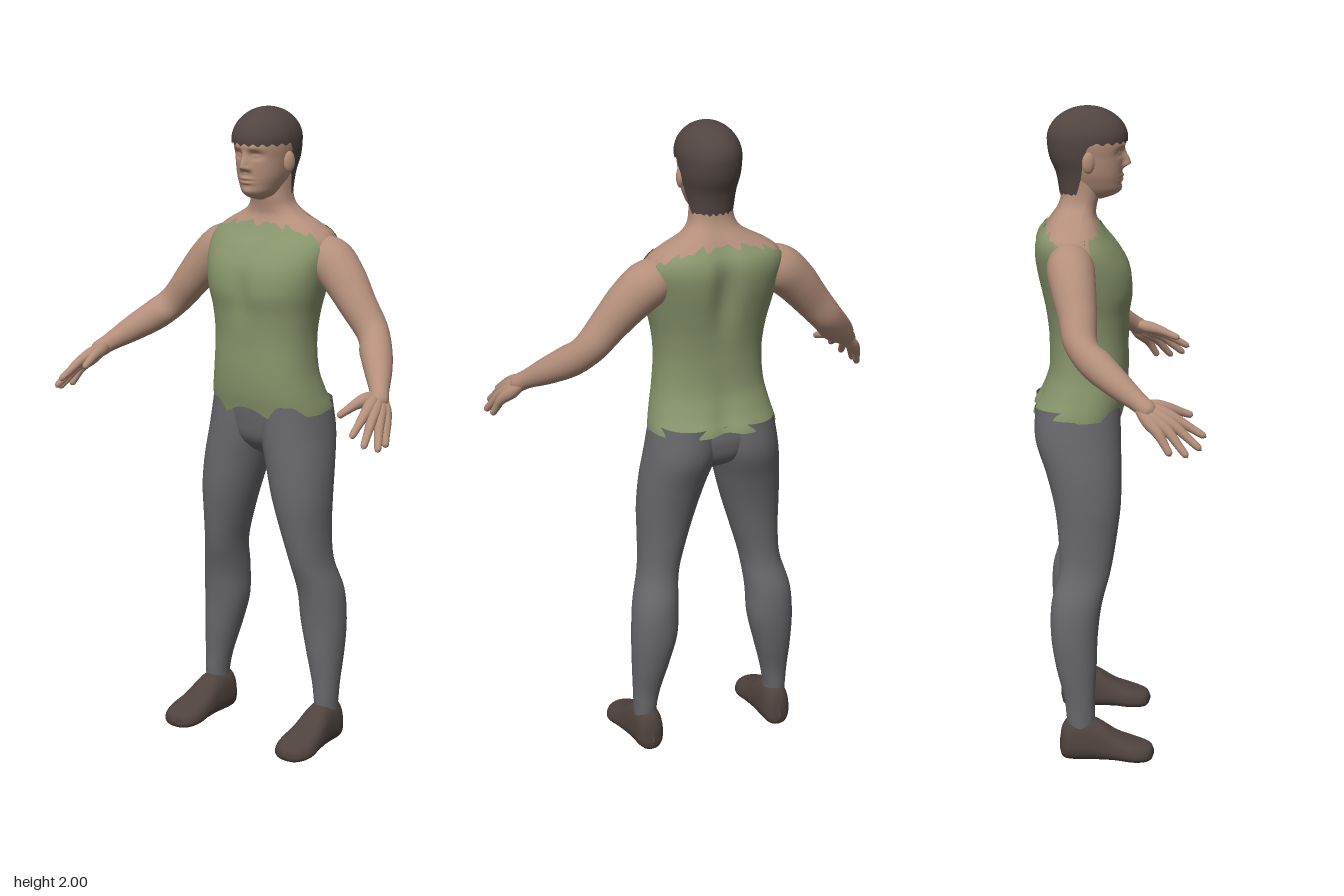
import * as THREE from 'three';

const paint = (name, color) => Object.assign(new THREE.MeshStandardMaterial({ color, side: THREE.DoubleSide }), { name });

// Cubic interpolation through rows whose first number is the position
function sample(rows, p) {
  let i = 0;
  while (i < rows.length - 2 && p > rows[i + 1][0]) i++;
  const a = rows[i], b = rows[i + 1], h = b[0] - a[0];
  const t = THREE.MathUtils.clamp((p - a[0]) / h, 0, 1);
  const slope = (j, k) => {
    const l = rows[Math.max(j - 1, 0)], r = rows[Math.min(j + 1, rows.length - 1)];
    return (r[k] - l[k]) / (r[0] - l[0]);
  };
  return a.slice(1).map((v, n) => {
    const k = n + 1, t2 = t * t, t3 = t2 * t;
    return v * (2 * t3 - 3 * t2 + 1) + b[k] * (3 * t2 - 2 * t3)
      + slope(i, k) * h * (t3 - 2 * t2 + t) + slope(i + 1, k) * h * (t3 - t2);
  });
}

// Smooth skin closed around u, open along v
function surface(nu, nv, fn) {
  const pos = [], index = [];
  for (let j = 0; j <= nv; j++)
    for (let i = 0; i < nu; i++) pos.push(...fn((i / nu) * Math.PI * 2, j / nv));
  for (let j = 0; j < nv; j++)
    for (let i = 0; i < nu; i++) {
      const a = j * nu + i, b = j * nu + (i + 1) % nu, c = b + nu, d = a + nu;
      index.push(a, d, b, b, d, c);
    }
  const g = new THREE.BufferGeometry();
  g.setAttribute('position', new THREE.Float32BufferAttribute(pos, 3));
  g.setIndex(index);
  g.computeVertexNormals();
  return g;
}

function mirrored(geometry) {
  const g = geometry.clone().scale(-1, 1, 1), ix = g.index.array;
  for (let i = 0; i < ix.length; i += 3) [ix[i], ix[i + 1]] = [ix[i + 1], ix[i]];
  g.computeVertexNormals();
  return g;
}

// Limb along a curve; each point is x, y, z, radius
function limb(points, nu = 24, nv = 40) {
  const curve = new THREE.CatmullRomCurve3(points.map(p => new THREE.Vector3(p[0], p[1], p[2])));
  const frames = curve.computeFrenetFrames(nv);
  const radii = points.map((p, i) => [i / (points.length - 1), p[3]]);
  return surface(nu, nv, (a, v) => {
    const j = Math.round(v * nv), [r] = sample(radii, v);
    return curve.getPoint(v)
      .addScaledVector(frames.normals[j], r * Math.cos(a))
      .addScaledVector(frames.binormals[j], -r * Math.sin(a)).toArray();
  });
}

const power = (v, p) => Math.sign(v) * Math.abs(v) ** p;
const bump = (v, c, w) => Math.exp(-(((v - c) / w) ** 2));
const { lerp, smoothstep } = THREE.MathUtils;

// Rows: y, half width, front z, back z
const TORSO = [
  [1.03, .196, .01, -.25], [1.08, .193, .02, -.254], [1.13, .182, .03, -.228], [1.2, .168, .035, -.203],
  [1.3, .162, .035, -.2], [1.38, .171, .04, -.21], [1.45, .188, .05, -.225], [1.52, .204, .038, -.24],
  [1.58, .213, .003, -.245], [1.62, .198, -.03, -.235], [1.65, .155, -.05, -.212], [1.675, .105, -.06, -.195],
  [1.7, .076, -.058, -.178], [1.73, .066, -.052, -.168], [1.79, .062, -.05, -.165]];
const HIPS = [[.915, .005, -.08, -.1], [.94, .06, -.04, -.15], [.98, .13, -.005, -.215], [1.04, .18, .008, -.238], [1.1, .183, .015, -.235]];
const HEAD = [
  [1.722, .01, -.04, -.09], [1.735, .038, -.003, -.13], [1.75, .051, .012, -.14], [1.77, .061, .016, -.15], [1.8, .072, .019, -.16],
  [1.85, .081, .022, -.18], [1.9, .086, .026, -.195], [1.95, .07, 0, -.17], [1.985, .01, -.07, -.1]];
const HAIR = [[1.73, .066, -.04, -.168], [1.8, .079, 0, -.18], [1.85, .09, .02, -.2], [1.9, .095, .036, -.207], [2.01, .095, .036, -.207]];
// Rows: y, inner x, outer x, front z, back z
const LEG = [
  [.1, .187, .255, -.072, -.15], [.14, .186, .256, -.068, -.155], [.2, .175, .259, -.068, -.162], [.3, .148, .264, -.062, -.187],
  [.4, .123, .266, -.058, -.202], [.5, .118, .258, -.045, -.2], [.6, .107, .232, -.018, -.176], [.7, .08, .227, 0, -.178],
  [.8, .05, .228, .013, -.19], [.9, .022, .222, .015, -.215], [1, -.005, .207, .014, -.247], [1.1, -.01, .189, .012, -.247]];
// Rows: z, centre x, half width, bottom y, top y
const SHOE = [
  [-.177, .217, .002, .035, .06], [-.17, .217, .025, .012, .105], [-.15, .217, .041, .003, .133], [-.1, .218, .047, .002, .14],
  [-.06, .22, .051, .003, .13], [0, .223, .059, .004, .09], [.05, .225, .064, 0, .069], [.09, .225, .052, 0, .055],
  [.108, .225, .031, .006, .046], [.116, .225, .002, .02, .03]];

function ring(rows, a, y, p = 1, grow = 0) {
  const [w, f, b] = sample(rows, y);
  return [(w + grow) * power(Math.cos(a), p), y, (f + b) / 2 + ((f - b) / 2 + grow) * power(Math.sin(a), p)];
}

// Torso section with spine groove and chest shape
function torsoPoint(a, y, grow) {
  const q = ring(TORSO, a, y, .86, grow), s = Math.sin(a);
  if (s < 0) q[2] -= s * bump(q[0], 0, .04) * (.024 * bump(y, 1.52, .12) + .016 * bump(y, 1.08, .1));
  else q[2] -= s * bump(q[0], 0, .035) * .012 * bump(y, 1.45, .07);
  return q;
}

// Ragged neckline and hem of the top
const ragged = a => .006 * Math.sin(a * 15) + .005 * Math.sin(a * 26 + 1);
function neckline(a) {
  const c = Math.abs(Math.cos(a));
  return 1.652 - .045 * c ** 3 - .1 * smoothstep(c, .93, 1) + ragged(a);
}
function hemline(a) {
  const c = Math.cos(a);
  return Math.sin(a) > 0 ? 1.07 - .016 * bump(Math.abs(c), .42, .2) + .018 * bump(c, 0, .28) : 1.075 + .008 * bump(c, 0, .15);
}

// Face relief: nose, brows, eyes, lips and chin
function facePoint(a, y) {
  const q = ring(HEAD, a, y, .92), s = Math.max(0, Math.sin(a)), x = Math.abs(q[0]);
  const nose = smoothstep(y, 1.813, 1.828) * (1 - smoothstep(y, 1.826, 1.885));
  q[2] += s * (.024 * nose * bump(x, 0, .012) + .008 * bump(x, .014, .008) * bump(y, 1.823, .009)
    - .013 * bump(x, .034, .02) * bump(y, 1.864, .012) + .006 * bump(x, .033, .012) * bump(y, 1.862, .006)
    + .004 * bump(x, .03, .025) * bump(y, 1.887, .009) + .006 * bump(x, 0, .022) * (bump(y, 1.793, .005) + bump(y, 1.78, .005))
    + .005 * bump(x, 0, .02) * bump(y, 1.752, .012));
  return q;
}

export function createModel() {
  const skin = paint('skin', 0xb48f7b), cloth = paint('green cloth', 0x87946b), trousers = paint('grey trousers', 0x68686c);
  const hair = paint('dark hair', 0x514541), leather = paint('brown leather', 0x4f433e);
  const model = new THREE.Group();
  model.name = 'standingFigure';
  const add = (name, geometry, material) => {
    const m = new THREE.Mesh(geometry, material);
    m.name = name;
    model.add(m);
  };
  const pair = (name, geometry, material) => {
    add(name + 'Left', geometry, material);
    add(name + 'Right', mirrored(geometry), material);
  };

  // Torso: sleeveless top, with bare shoulders and neck above
  add('top', surface(160, 60, (a, v) => torsoPoint(a, lerp(hemline(a), neckline(a), v), .004)), cloth);
  add('shouldersAndNeck', surface(96, 36, (a, v) => torsoPoint(a, lerp(neckline(a) - .012, 1.79, v), 0)), skin);

  // Head
  add('face', surface(144, 100, (a, v) => facePoint(a, lerp(1.722, 1.985, v))), skin);
  pair('ear', new THREE.SphereGeometry(1, 16, 12).scale(.012, .032, .02).rotateY(-.3).translate(.086, 1.84, -.083), skin);
  add('hair', surface(128, 48, (a, v) => {
    const edge = lerp(1.74, 1.895, smoothstep(Math.sin(a), -.28, .06)) + .004 * Math.sin(a * 22);
    const y = lerp(edge, 2, Math.sin(v * Math.PI / 2));
    const f = Math.sqrt(Math.max(0, 1 - (Math.max(0, y - 1.9) / .1) ** 2));
    const q = ring(HAIR, a, y, .95);
    return [q[0] * f, y, -.085 + (q[2] + .085) * f];
  }), hair);

  // Arms
  pair('arm', limb([
    [.14, 1.57, -.14, .05], [.2, 1.55, -.137, .07], [.26, 1.5, -.128, .067], [.325, 1.425, -.115, .057], [.385, 1.355, -.105, .05],
    [.43, 1.308, -.06, .049], [.48, 1.265, -.003, .041], [.525, 1.225, .055, .029], [.55, 1.2, .09, .025], [.56, 1.19, .105, .002]], 32, 60), skin);

  // Hands: wrist, knuckle and tip of each finger
  const fingers = {
    indexFinger: [[.53, 1.22, .07], [.552, 1.18, .165], [.565, 1.13, .25]],
    middleFinger: [[.535, 1.217, .065], [.573, 1.165, .16], [.597, 1.1, .235]],
    ringFinger: [[.537, 1.213, .06], [.587, 1.152, .142], [.62, 1.085, .195]],
    littleFinger: [[.54, 1.21, .055], [.592, 1.145, .115], [.613, 1.088, .147]],
    thumb: [[.525, 1.218, .07], [.507, 1.2, .15], [.492, 1.175, .215]],
  };
  for (const [name, [w, k, t]] of Object.entries(fingers)) {
    const mix = (p, q, f) => p.map((v, i) => lerp(v, q[i], f));
    pair(name, limb([[...w, .012], [...mix(w, k, .5), .02], [...k, .0155], [...mix(k, t, .5), .012],
      [...mix(k, t, .9), .0095], [...t, .001]], 14, 24), skin);
  }

  // Trousers
  add('hips', surface(64, 24, (a, v) => ring(HIPS, a, lerp(.915, 1.1, v), .95)), trousers);
  pair('leg', surface(48, 60, (a, v) => {
    const y = lerp(.1, 1.1, v), [i, o, f, b] = sample(LEG, y);
    return [(i + o) / 2 + (o - i) / 2 * power(Math.cos(a), .95), y, (f + b) / 2 + (f - b) / 2 * power(Math.sin(a), .95)];
  }), trousers);

  // Shoes, narrower toward the top
  pair('shoe', surface(40, 60, (a, v) => {
    const z = lerp(-.177, .116, (1 - Math.cos(v * Math.PI)) / 2), [x, w, b, t] = sample(SHOE, z);
    const h = -power(Math.sin(a), .8);
    return [x + Math.max(w, 0) * power(Math.cos(a), .8) * (1 - .12 * h), (b + t) / 2 + (t - b) / 2 * h, z];
  }), leather);

  return model;
}
